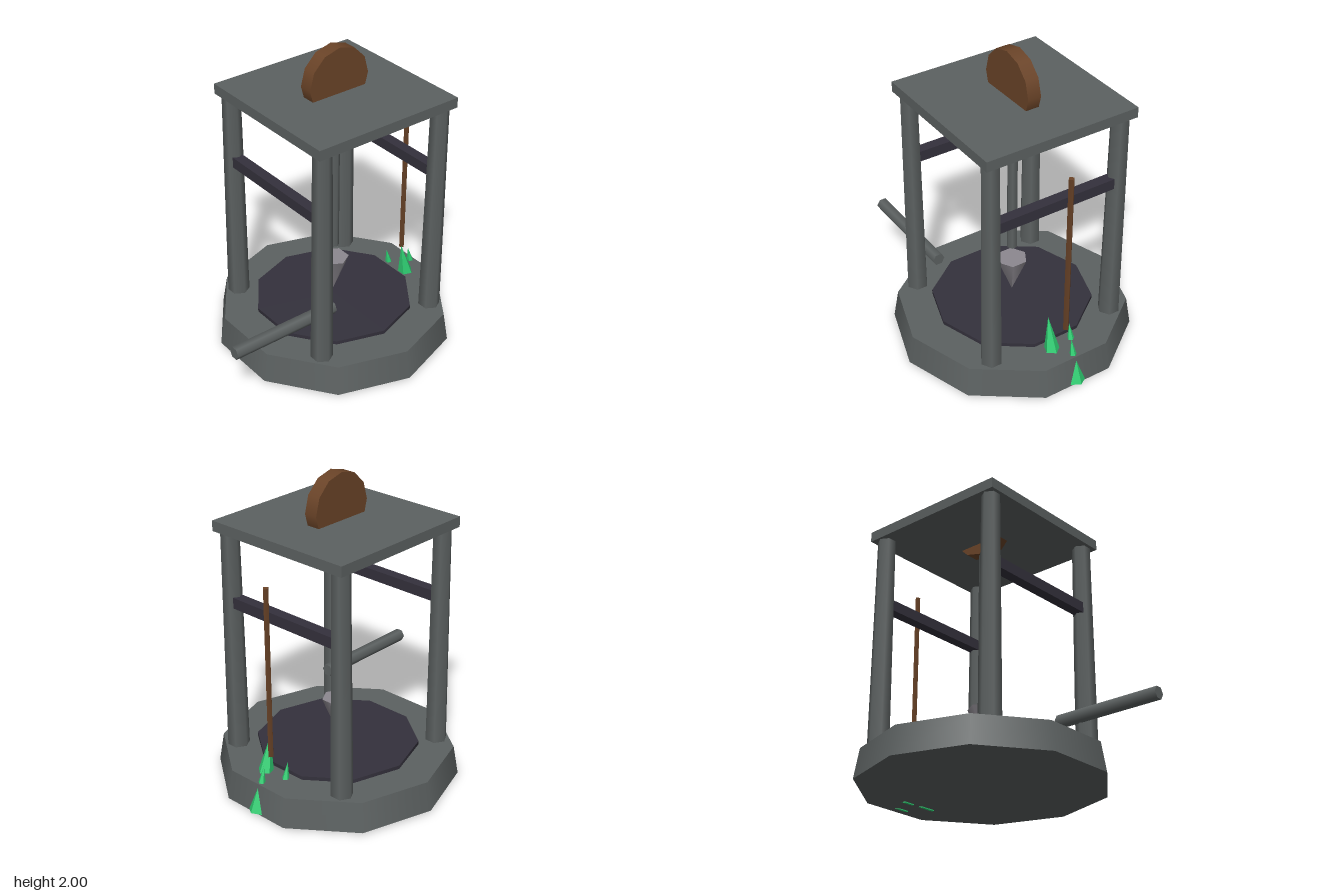
import * as THREE from 'three';

const mat = (name, color) => {
  const m = new THREE.MeshStandardMaterial({ color });
  m.name = name;
  return m;
};

export function createModel() {
  const stone = mat('stone', 0x5c6161);
  const dark = mat('darkIron', 0x34313c);
  const wood = mat('wood', 0x6b4428);
  const metal = mat('metal', 0x8c888f);
  const green = mat('crystal', 0x2ecc71);
  green.flatShading = true;

  const model = new THREE.Group();
  model.name = 'drillRig';
  const CX = 0.125; // rig axis

  const add = (name, geometry, material, x, y, z, parent = model) => {
    const mesh = new THREE.Mesh(geometry, material);
    mesh.name = name;
    mesh.position.set(x, y, z);
    parent.add(mesh);
    return mesh;
  };
  // Upright cylinder spanning y0..y1
  const post = (name, rTop, rBottom, y0, y1, sides, material, x, z) =>
    add(name, new THREE.CylinderGeometry(rTop, rBottom, y1 - y0, sides), material, x, (y0 + y1) / 2, z);

  // Ten-sided plinth with a dark inset disc
  post('base', 0.738, 0.77, 0.01, 0.2, 10, stone, CX, 0);
  post('floorDisc', 0.515, 0.515, 0.19, 0.224, 10, dark, CX, 0);

  // Four tapered pillars and the side beams joining them
  for (const sx of [-1, 1]) {
    const x = CX + sx * 0.442;
    for (const sz of [-1, 1]) post('pillar', 0.058, 0.07, 0.19, 1.645, 6, stone, x, sz * 0.445);
    add('sideBeam', new THREE.BoxGeometry(0.07, 0.07, 0.86), dark, x, 1.195, 0);
  }

  // Roof slab and the wheel set through it
  add('roof', new THREE.BoxGeometry(1.03, 0.066, 1.03), stone, CX, 1.672, 0);
  const wheel = add('wheel', new THREE.CylinderGeometry(0.218, 0.218, 0.088, 12), wood, CX, 1.782, 0);
  wheel.rotation.x = Math.PI / 2;

  // Hanging shaft and pointed bit
  post('shaft', 0.035, 0.035, 0.605, 1.6, 6, stone, CX, 0);
  const bit = add('drillBit', new THREE.ConeGeometry(0.1, 0.248, 6), metal, CX, 0.386, 0);
  bit.rotation.x = Math.PI;

  // Side lever and hanging rope
  const lever = add('lever', new THREE.CylinderGeometry(0.042, 0.042, 0.735, 6), stone, -0.537, 0.458, 0.364);
  lever.rotation.z = Math.PI / 2;
  post('rope', 0.021, 0.021, 0.347, 1.45, 4, wood, 0.714, 0);

  // Leaning crystals: base centre x, y, z, radius, height
  const crystals = new THREE.Group();
  crystals.name = 'crystals';
  model.add(crystals);
  for (const [x, y, z, r, h] of [
    [0.72, 0.018, 0.08, 0.09, 0.41],
    [0.833, 0.014, 0, 0.063, 0.295],
    [0.706, 0.014, -0.075, 0.063, 0.295],
  ]) {
    const g = new THREE.ConeGeometry(r, h, 5, 1, false, Math.PI / 2).translate(0, h / 2, 0);
    add('crystal', g, green, x, y, z, crystals).rotation.z = 0.2;
  }

  return model;
}
